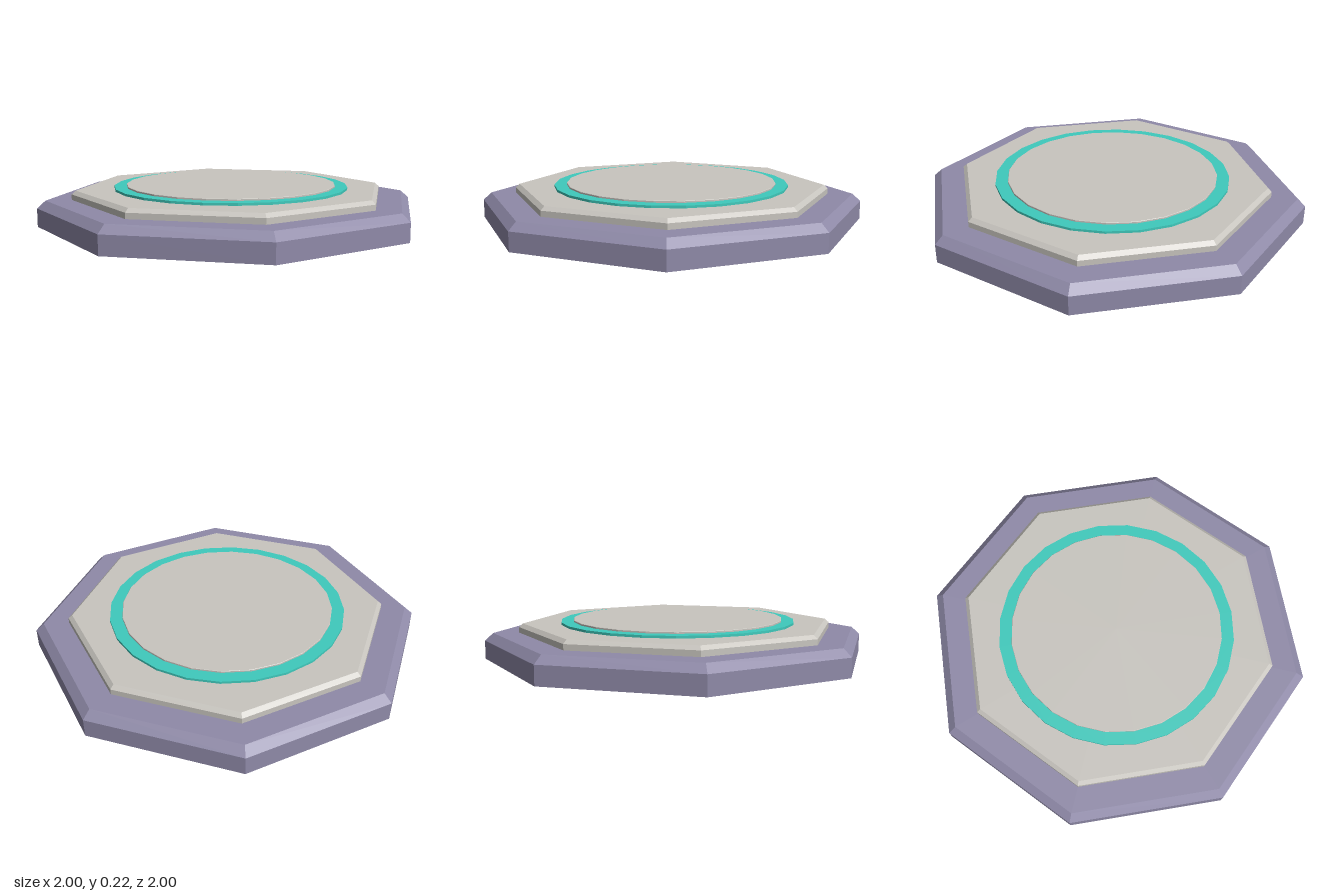
import * as THREE from 'three';

const material = (name, color) => {
  const m = new THREE.MeshStandardMaterial({ color, flatShading: true });
  m.name = name;
  return m;
};

// Solid faceted slab with a chamfered top edge
function slab(name, mat, sides, radius, y0, y1, chamferIn, chamferDown) {
  const profile = [[0, y0], [radius, y0], [radius, y1 - chamferDown], [radius - chamferIn, y1], [0, y1]];
  const geometry = new THREE.LatheGeometry(profile.map(([r, y]) => new THREE.Vector2(r, y)), sides);
  const mesh = new THREE.Mesh(geometry, mat);
  mesh.name = name;
  return mesh;
}

export function createModel() {
  const group = new THREE.Group();
  group.name = 'octagonalPlatform';
  const purple = material('dusty purple', 0x8f8aa8);
  const stone = material('pale stone', 0xc8c5bf);
  const teal = material('teal', 0x3fcabc);

  // Octagons are sized by the distance from centre to flat side
  const toCorner = 1 / Math.cos(Math.PI / 8);
  const base = slab('base', purple, 8, toCorner, 0, 0.145, 0.043 * toCorner, 0.042);
  const deck = slab('deck', stone, 8, 0.826 * toCorner, 0.145, 0.196, 0.021 * toCorner, 0.02);
  base.rotation.y = deck.rotation.y = Math.PI / 8;

  // Glowing band and the round pad standing through it
  const ring = new THREE.Mesh(
    new THREE.LatheGeometry(
      [[0.59, 0.196], [0.661, 0.196], [0.661, 0.209], [0.59, 0.209]].map(([r, y]) => new THREE.Vector2(r, y)), 24),
    teal);
  ring.name = 'ring';
  const pad = slab('pad', stone, 24, 0.592, 0.196, 0.219, 0.002, 0.002);

  group.add(base, deck, ring, pad);
  return group;
}
